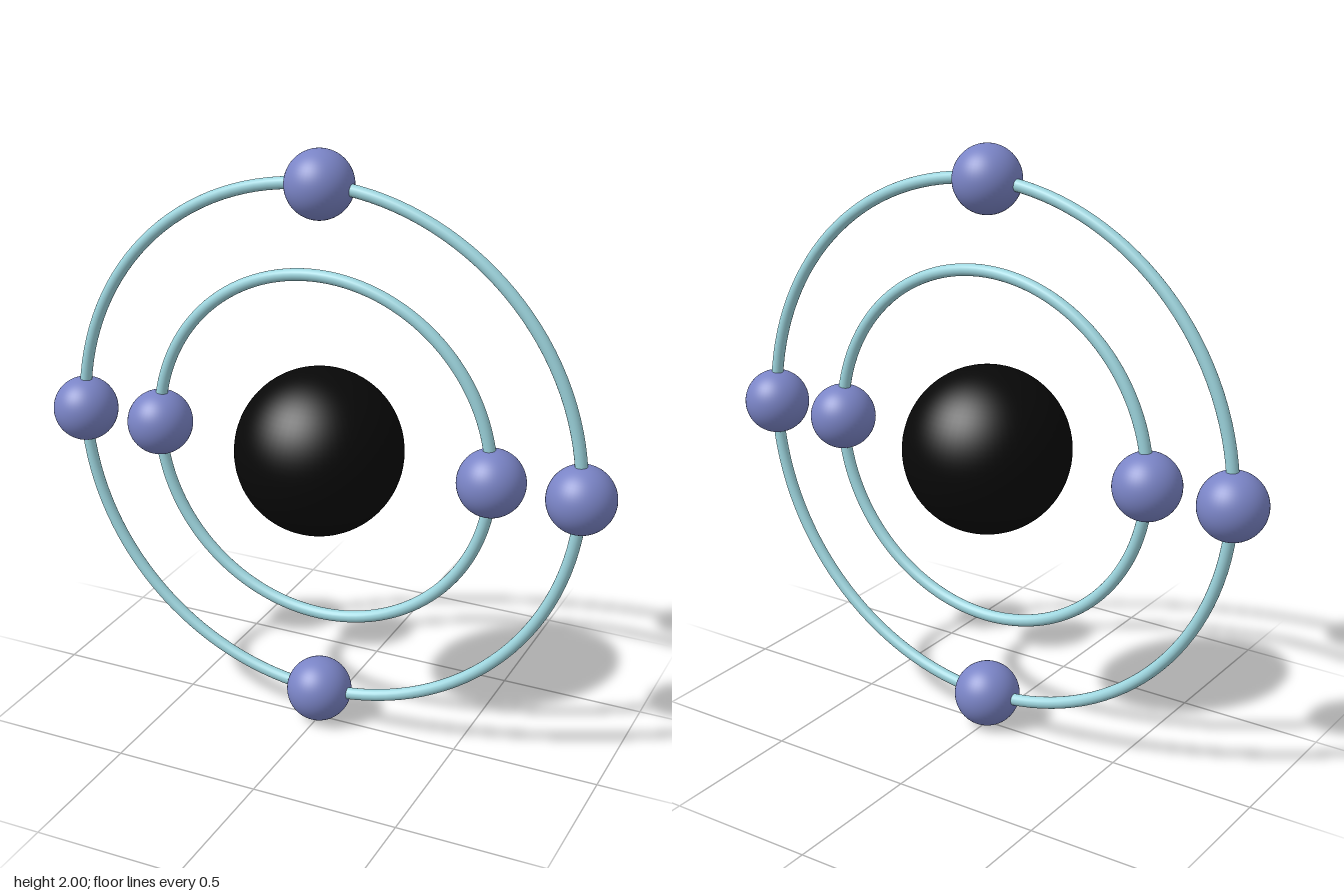
import * as THREE from 'three';

export function createModel() {
  const model = new THREE.Group();
  model.name = 'atom';

  const nucleusMat = new THREE.MeshStandardMaterial({ color: 0x080808 });
  const orbitMat = new THREE.MeshStandardMaterial({ color: 0x9dd5de });
  const electronMat = new THREE.MeshStandardMaterial({ color: 0x7a84c6 });

  function add(name, geometry, material, x = 0, y = 0) {
    const mesh = new THREE.Mesh(geometry, material);
    mesh.name = name;
    mesh.position.set(x, 1 + y, 0);
    model.add(mesh);
  }

  // Central nucleus
  add('nucleus', new THREE.SphereGeometry(0.278, 64, 40), nucleusMat);

  // Two concentric upright orbits, each with evenly spaced electrons
  const electron = new THREE.SphereGeometry(0.111, 48, 32);
  const orbits = [
    { name: 'inner', radius: 0.595, count: 2 },
    { name: 'outer', radius: 0.889, count: 4 },
  ];
  for (const { name, radius, count } of orbits) {
    add(`${name}Orbit`, new THREE.TorusGeometry(radius, 0.02, 20, 128), orbitMat);
    for (let i = 0; i < count; i++) {
      const a = (i / count) * Math.PI * 2;
      add(`${name}Electron${i + 1}`, electron, electronMat, radius * Math.cos(a), radius * Math.sin(a));
    }
  }

  return model;
}
